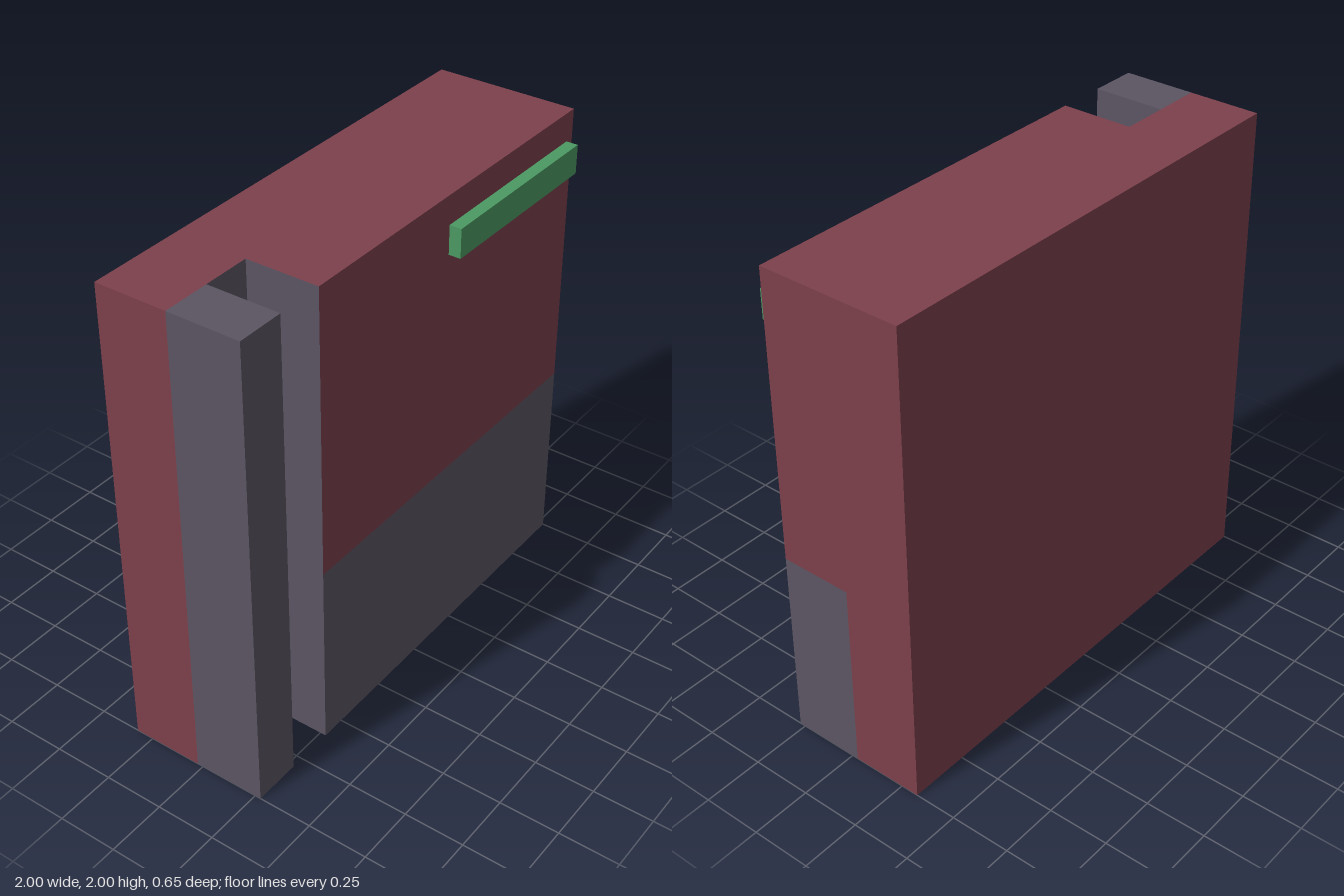
import * as THREE from 'three';

const red = new THREE.MeshStandardMaterial({ color: 0x7d404b });
const slate = new THREE.MeshStandardMaterial({ color: 0x5b5563 });
const green = new THREE.MeshStandardMaterial({ color: 0x4b9963 });

export function createModel() {
  const model = new THREE.Group();

  // Box given by its extents along each axis
  const block = (name, material, [x0, x1], [y0, y1], [z0, z1]) => {
    const mesh = new THREE.Mesh(new THREE.BoxGeometry(x1 - x0, y1 - y0, z1 - z0), material);
    mesh.position.set((x0 + x1) / 2, (y0 + y1) / 2, (z0 + z1) / 2);
    mesh.name = name;
    model.add(mesh);
  };

  const back = -0.325, middle = -0.025, front = 0.275;

  // Material order: +x, -x, +y, -y, +z, -z; the walls of the slot are slate
  block('backSlab', [red, red, red, red, slate, red], [-1, 1], [0, 2], [back, middle]);
  block('upperPanel', [red, slate, red, red, red, red], [-0.6, 1], [0.8, 2], [middle, front]);

  // Slate base and the post left of the slot
  block('lowerPanel', slate, [-0.6, 1], [0, 0.8], [middle, front]);
  block('sidePost', slate, [-1, -0.8], [0, 2], [middle, front]);

  // Raised bar on the upper panel
  block('frontBar', green, [0.16, 0.96], [1.76, 1.88], [front, 0.325]);

  return model;
}
